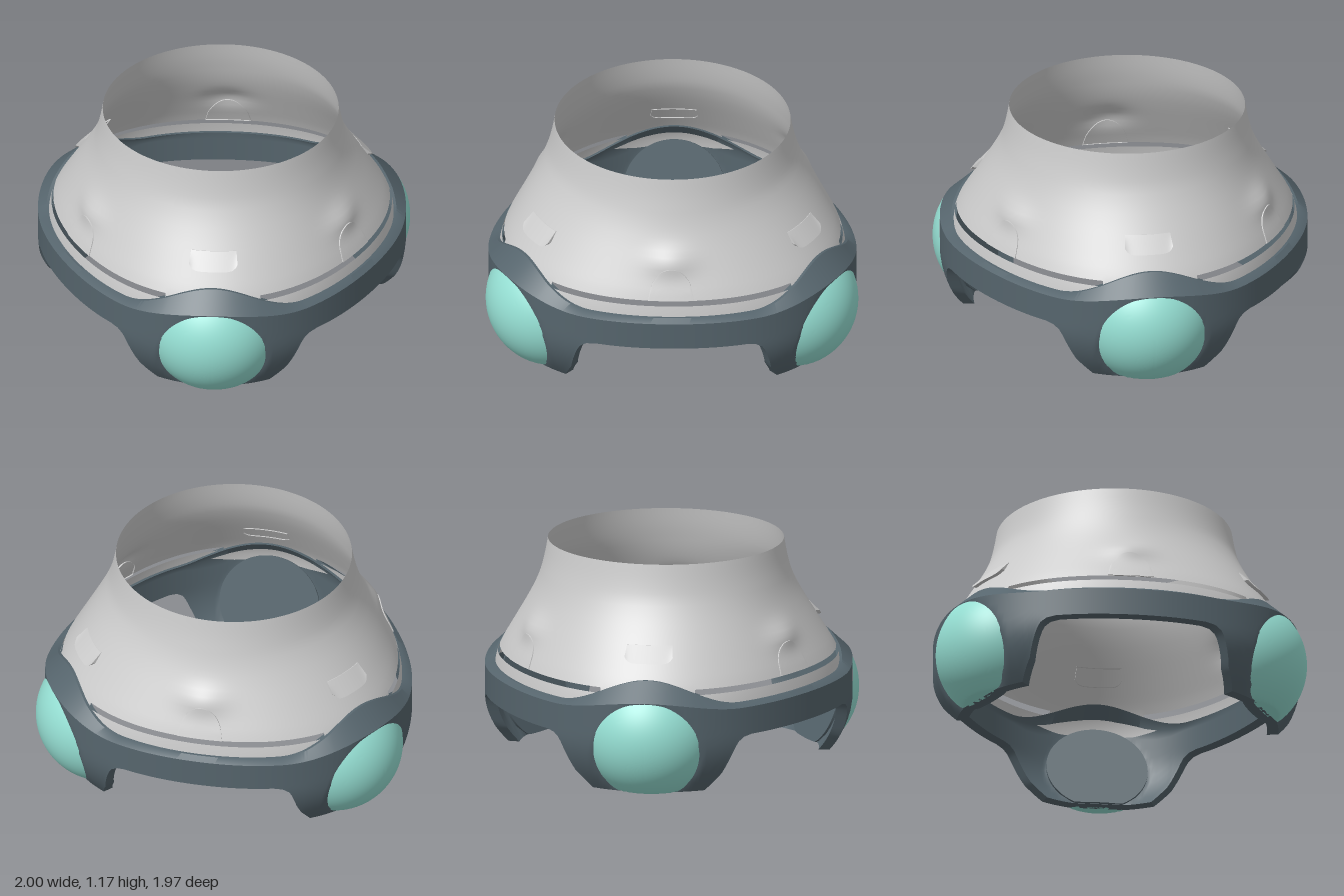
import * as THREE from 'three';
import { toCreasedNormals } from 'three/addons/utils/BufferGeometryUtils.js';

const CX = 0.085;                       // axis of the threefold symmetry
const LOBES = [60, 180, 300], FLATS = [0, 120, 240];
const rad = THREE.MathUtils.degToRad;
const lobeWave = (t) => -Math.cos(rad(3 * t));                       // 1 at lobes, -1 at flats
const fromLobe = (t) => Math.abs((((t % 120) + 120) % 120) - 60);    // degrees off nearest lobe

// Piecewise-linear lookup in [x, y] pairs
function lookup(table, x) {
  if (x <= table[0][0]) return table[0][1];
  for (let i = 1; i < table.length; i++) {
    const [x0, y0] = table[i - 1], [x1, y1] = table[i];
    if (x <= x1) return y0 + ((y1 - y0) * (x - x0)) / (x1 - x0);
  }
  return table[table.length - 1][1];
}

// Point from angle in degrees, radius and height
const polar = (t, r, y) => [CX + r * Math.cos(rad(t)), y, r * Math.sin(rad(t))];

// Grid surface; point(i, j) gives a position, skip(i, j) leaves holes
function grid(cols, rows, point, { wrapI = false, wrapJ = false, skip = () => false } = {}) {
  const pos = [], idx = [];
  for (let i = 0; i < cols; i++) for (let j = 0; j < rows; j++) pos.push(...point(i, j));
  const at = (i, j) => (i % cols) * rows + (j % rows);
  for (let i = 0; i < (wrapI ? cols : cols - 1); i++) {
    for (let j = 0; j < (wrapJ ? rows : rows - 1); j++) {
      if (skip(i, j)) continue;
      const a = at(i, j), b = at(i, j + 1), c = at(i + 1, j), d = at(i + 1, j + 1);
      idx.push(a, b, c, c, b, d);
    }
  }
  const g = new THREE.BufferGeometry();
  g.setAttribute('position', new THREE.Float32BufferAttribute(pos, 3));
  g.setIndex(idx);
  g.computeVertexNormals();
  return g;
}

// Flared shell: round at the neck, softly three-lobed at the base
const SHELL = [[0.45, 0.912], [0.5, 0.905], [0.55, 0.89], [0.6, 0.866], [0.65, 0.838], [0.7, 0.81],
  [0.75, 0.782], [0.8, 0.754], [0.85, 0.727], [0.9, 0.702], [0.95, 0.68], [1, 0.662], [1.05, 0.649],
  [1.1, 0.638], [1.175, 0.625]];
function shellR(t, y) {
  const amp = 0.04 * THREE.MathUtils.clamp((1 - y) / 0.5, 0, 1);
  const bulge = 0.028 * Math.exp(-(((y - 0.75) / 0.06) ** 2) - (((fromLobe(t) - 60) / 9) ** 2));
  return lookup(SHELL, y) + amp * lobeWave(t) + bulge;
}

// Frame: outer wall, top edge and bottom edge around the ring
function frameR(t, y) {
  const tuck = 0.12 * Math.max(0, 1 - y / 0.3) ** 2;
  const plate = (0.94 + 0.279 * (y - 0.23)) / Math.cos(rad(fromLobe(t)));
  return Math.min(0.964 + 0.05 * lobeWave(t) - tuck, plate);
}
const rise = (t) => (1 + Math.cos(Math.PI * Math.min(1, fromLobe(t) / 32))) / 2;
const LEG = [[20, 0], [22.5, 0.05], [25, 0.1], [28, 0.215], [29, 0.25], [30, 0.275], [32, 0.297], [35, 0.306]];

function frameGeometry() {
  const n = 10, wall = 0.06;
  const g = grid(360, 2 * n + 2, (i, j) => {
    const yb = lookup(LEG, fromLobe(i)), ys = 0.455 + 0.055 * rise(i), yt = 0.475 + 0.135 * rise(i);
    const rt = shellR(i, yt) + 0.014;
    if (j === n) return polar(i, rt, yt);
    if (j === n + 1) return polar(i, rt - 0.03, yt);
    const inner = j > n;
    const y = yb + (ys - yb) * (inner ? 2 * n + 1 - j : j) / (n - 1);
    return polar(i, frameR(i, y) - (inner ? wall : 0), y);
  }, { wrapI: true, wrapJ: true });
  return toCreasedNormals(g, rad(32));
}

// Raised pad lying on the shell, with edges dropping into it
function padGeometry(t, half, low, high, lift) {
  const nu = 26, nv = 10;
  const g = grid(nu, nv, (i, j) => {
    const u = THREE.MathUtils.clamp((2 * (i - 1)) / (nu - 3) - 1, -1, 1);
    const v = THREE.MathUtils.clamp((j - 1) / (nv - 3), 0, 1);
    const rim = i === 0 || j === 0 || i === nu - 1 || j === nv - 1;
    const a = t + u * half, y = low(u) + (high(u) - low(u)) * v;
    return polar(a, shellR(a, y) + (rim ? -0.008 : lift(v)), y);
  });
  return toCreasedNormals(g, rad(35));
}

export function createModel() {
  const model = new THREE.Group();
  const grey = new THREE.MeshStandardMaterial({ color: 0xcccccc, side: THREE.DoubleSide });
  const dark = new THREE.MeshStandardMaterial({ color: 0x56656d });
  const mint = new THREE.MeshStandardMaterial({ color: 0x96e0d4 });
  const add = (name, geometry, material, parent = model) => {
    const mesh = new THREE.Mesh(geometry, material);
    mesh.name = name;
    parent.add(mesh);
    return mesh;
  };

  // Shell with a long slot over each flat side
  const ys = [0.45, 0.49, 0.532, 0.56];
  for (let k = 1; k <= 20; k++) ys.push(0.56 + (0.615 * k) / 20);
  add('flaredShell', grid(360, ys.length, (i, j) => polar(i, shellR(i, ys[j]), ys[j]), {
    wrapI: true,
    skip: (i, j) => j === 2 && fromLobe(i + 0.5) > 16,
  }), grey);

  // Frame ring with three legs
  add('frameRing', frameGeometry(), dark);

  // Tabs above the lobes, arched pads above the flats
  LOBES.forEach((t) => add('shellTab', padGeometry(t, 8.8,
    (u) => 0.69 + 0.03 * Math.abs(u) ** 7, () => 0.775, (v) => 0.003 + 0.02 * (1 - v)), grey));
  FLATS.forEach((t) => add('archedPad', padGeometry(t, 8.2,
    () => 0.562, (u) => 0.562 + 0.16 * Math.sqrt(1 - u * u), () => 0.006), grey));

  // Domes on the lobes, cut flat at the ground, each with a backing disc
  const R = 0.364, tilt = rad(15.6);
  LOBES.forEach((t) => {
    const lobe = new THREE.Group();
    lobe.name = 'lobe';
    lobe.position.x = CX;
    lobe.rotation.y = -rad(t);
    model.add(lobe);

    const dome = new THREE.SphereGeometry(R, 64, 28, 0, Math.PI * 2, 0, rad(52.5));
    dome.rotateZ(-Math.PI / 2 - tilt);
    dome.translate(0.719, 0.292, 0);
    const p = dome.attributes.position;
    for (let i = 0; i < p.count; i++) p.setY(i, Math.max(0, p.getY(i)));
    add('dome', toCreasedNormals(dome, rad(30)), mint, lobe);

    const disc = new THREE.CylinderGeometry(0.27, 0.27, 0.02, 64);
    disc.rotateZ(-Math.PI / 2 - tilt);
    disc.translate(0.878, 0.23, 0);
    const q = disc.attributes.position;
    for (let i = 0; i < q.count; i++) q.setY(i, Math.max(0.002, q.getY(i)));
    add('backingDisc', disc, dark, lobe);
  });
  return model;
}
